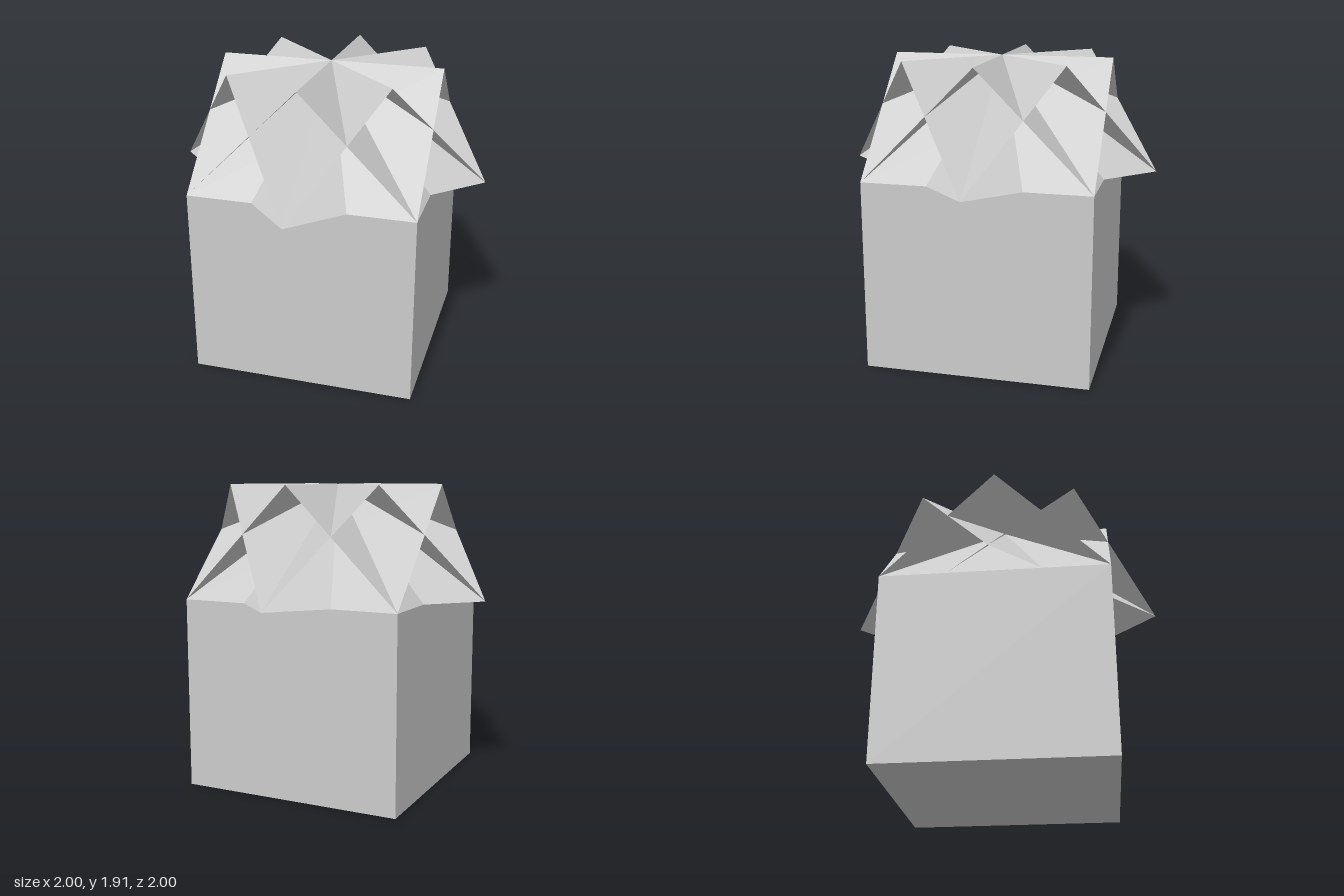
import * as THREE from 'three';

export function createModel() {
  const group = new THREE.Group();
  const wallMaterial = new THREE.MeshStandardMaterial({ color: 0xcccccc, flatShading: true });
  const roofMaterial = new THREE.MeshStandardMaterial({
    color: 0xcccccc, flatShading: true, side: THREE.DoubleSide,
  });

  const half = Math.SQRT1_2; // half the width of the body, also the rise of each roof
  const wallHeight = 1.2;

  // Square body
  const body = new THREE.Mesh(new THREE.BoxGeometry(2 * half, wallHeight, 2 * half), wallMaterial);
  body.name = 'body';
  body.position.y = wallHeight / 2;
  group.add(body);

  // One 45 degree slope, from the ridge at the centre down to the eave at the front
  const slope = new THREE.PlaneGeometry(2 * half, 1);
  slope.rotateX(-Math.PI / 4);
  slope.translate(0, wallHeight + half / 2, half / 2);

  // Four open-ended gable roofs crossing at the centre, each with two slopes
  for (let i = 0; i < 4; i++) {
    const roof = new THREE.Group();
    roof.name = `gableRoof${i + 1}`;
    roof.rotation.y = (i * Math.PI) / 4;
    for (const side of [0, 1]) {
      const face = new THREE.Mesh(slope, roofMaterial);
      face.name = side ? 'backSlope' : 'frontSlope';
      face.rotation.y = side * Math.PI;
      roof.add(face);
    }
    group.add(roof);
  }
  return group;
}
